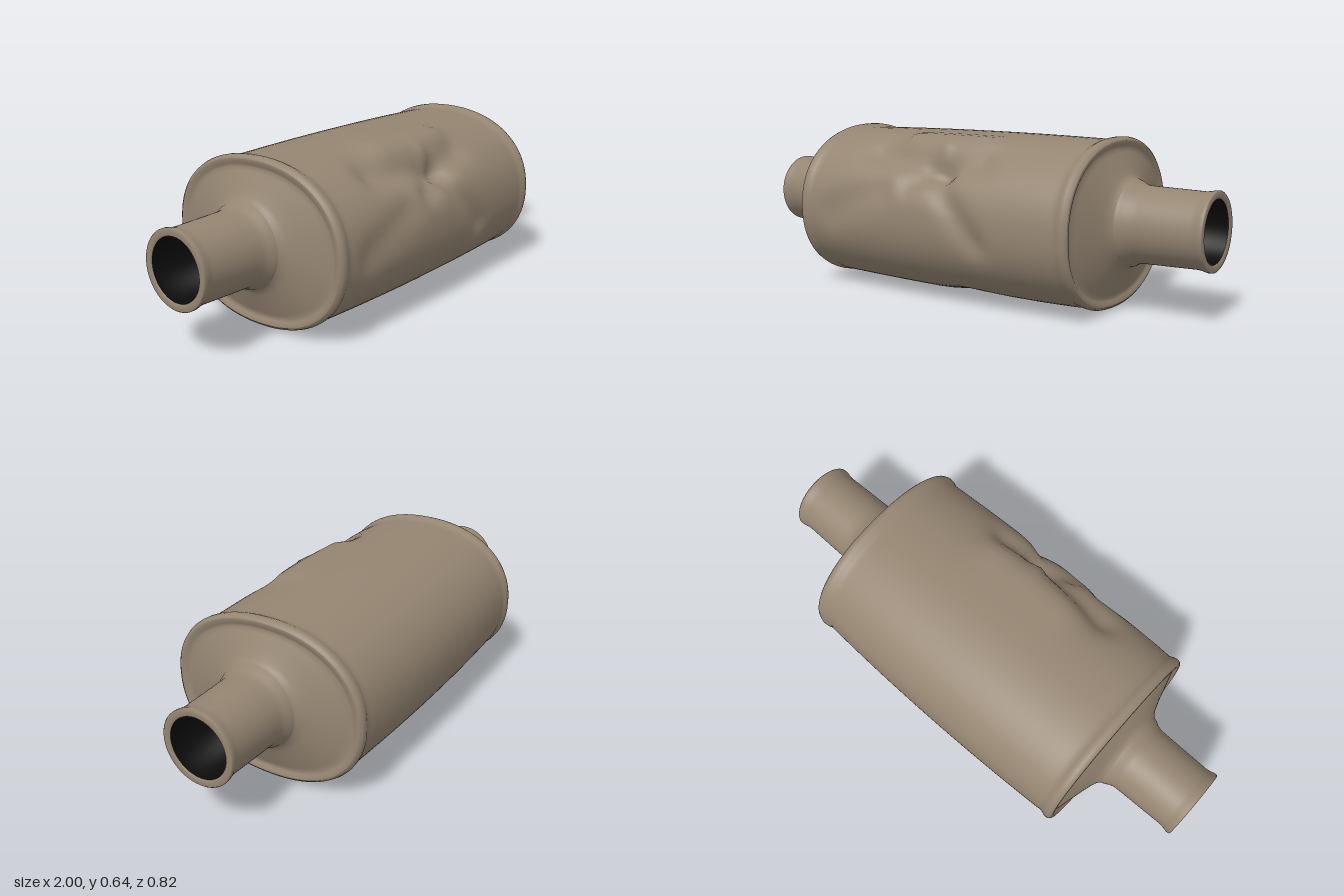
import * as THREE from 'three';

const SIDES = 80;

// Skin a list of oval rings [x, halfDepth, halfHeight, centreY, power] running along x.
function loft(rings, push = () => 0) {
  const pos = [], idx = [];
  for (const [x, rz, ry, cy, n = 2] of rings) {
    for (let j = 0; j < SIDES; j++) {
      const t = (j / SIDES) * Math.PI * 2 - Math.PI;
      const c = Math.cos(t), s = Math.sin(t), d = push(x, t);
      const bend = (v, r) => Math.sign(v) * Math.pow(Math.abs(v), 2 / n) * r + v * d;
      pos.push(x, cy + bend(s, ry), bend(c, rz));
    }
  }
  for (let i = 0; i < rings.length - 1; i++) {
    for (let j = 0; j < SIDES; j++) {
      const k = (j + 1) % SIDES;
      const a = i * SIDES + j, b = a + SIDES, c = i * SIDES + k, d = c + SIDES;
      idx.push(a, b, c, b, d, c);
    }
  }
  const g = new THREE.BufferGeometry();
  g.setAttribute('position', new THREE.Float32BufferAttribute(pos, 3));
  g.setIndex(idx);
  g.computeVertexNormals();
  return g;
}

const mirror = rings => rings.map(([x, ...rest]) => [-x, ...rest]).reverse();
const round = (x, r) => [x, r, r, 0.335];

// Creases in the shell: [x1, angle1, x2, angle2, width, depth]; angle 0 is the front, PI/2 the top.
const CREASES = [
  [-0.30, 0.85, 0.02, 0.66, 0.11, -0.035],
  [0.02, 0.66, 0.20, 0.80, 0.10, -0.03],
  [-0.08, 0.42, 0.06, 0.58, 0.07, -0.025],
  [0.08, 0.35, 0.24, -0.15, 0.08, -0.022],
  [-0.22, 0.30, -0.48, 0.00, 0.10, -0.015],
  [0.00, 0.50, 0.02, 0.90, 0.05, 0.015],
  [-0.15, 1.10, 0.18, 1.10, 0.12, 0.024],
  [0.10, -1.25, 0.25, -1.45, 0.13, -0.018],
];

function dent(x, t) {
  let sum = 0;
  for (const [x1, t1, x2, t2, w, depth] of CREASES) {
    // angles are scaled to surface distance
    const k = 0.36, ex = x2 - x1, et = (t2 - t1) * k, px = x - x1, pt = (t - t1) * k;
    const u = Math.min(1, Math.max(0, (px * ex + pt * et) / (ex * ex + et * et)));
    const dist = Math.hypot(px - u * ex, pt - u * et);
    sum += depth * Math.exp(-Math.pow(dist / w, 2) * 2.5);
  }
  return sum * Math.min(1, Math.max(0, (0.58 - Math.abs(x)) / 0.12));
}

export function createModel() {
  const model = new THREE.Group();
  model.name = 'muffler';
  const metal = new THREE.MeshStandardMaterial({ color: 0x958572 });
  metal.name = 'dull brown metal';
  const black = new THREE.MeshStandardMaterial({ color: 0x0b0b0b });
  black.name = 'black soot';
  const add = (name, geometry, material) => {
    const mesh = new THREE.Mesh(geometry, material);
    mesh.name = name;
    model.add(mesh);
  };

  // Oval shell with a rolled rim at each end
  const rim = [
    [0.568, 0.394, 0.310, 0.325, 2.2],
    [0.580, 0.397, 0.314, 0.327, 2.2],
    [0.592, 0.402, 0.318, 0.328, 2.2],
    [0.606, 0.403, 0.319, 0.328, 2.2],
    [0.617, 0.399, 0.315, 0.328, 2.2],
    [0.623, 0.390, 0.307, 0.328, 2.2],
  ];
  const barrel = [];
  for (let i = 0; i <= 60; i++) {
    const x = -0.55 + (1.1 * i) / 60, swell = 1 - Math.pow(x / 0.55, 2);
    barrel.push([x, 0.396 + 0.014 * swell, 0.311 + 0.007 * swell, 0.323, 2.2]);
  }
  add('shell', loft([...mirror(rim), ...barrel, ...rim], dent), metal);

  // Domed end plate, flaring into the collar
  const plate = [
    [0.623, 0.390, 0.307, 0.328, 2.2],
    [0.624, 0.380, 0.298, 0.328, 2.2],
    [0.617, 0.368, 0.286, 0.328, 2.2],
    [0.614, 0.355, 0.275, 0.328, 2.2],
    [0.620, 0.335, 0.262, 0.328, 2.15],
    [0.632, 0.290, 0.238, 0.329, 2.1],
    [0.645, 0.240, 0.210, 0.330, 2.05],
    [0.658, 0.200, 0.184, 0.332, 2],
    [0.668, 0.176, 0.169, 0.334, 2],
    round(0.680, 0.163),
  ];
  // Pipe with a collar at its root and a flared lip
  const pipe = [
    round(0.680, 0.163), round(0.695, 0.158), round(0.710, 0.149), round(0.730, 0.143),
    round(0.760, 0.142), round(0.860, 0.140), round(0.950, 0.138), round(0.970, 0.141),
    round(0.985, 0.145), round(0.996, 0.145), round(1.000, 0.141), round(1.000, 0.122),
    round(0.995, 0.116),
  ];
  // Dark inside of the pipe, closed at the bottom
  const bore = [round(0.995, 0.116), round(0.80, 0.114), round(0.80, 0)];

  for (const [side, place] of [['left', r => r], ['right', mirror]]) {
    add(side + 'EndPlate', loft(place(plate)), metal);
    add(side + 'Pipe', loft(place(pipe)), metal);
    add(side + 'Bore', loft(place(bore)), black);
  }

  // Small soot stain under the right pipe
  const stain = new THREE.CylinderGeometry(0.1425, 0.1425, 0.05, 8, 1, true, -0.25, 0.5);
  stain.rotateZ(Math.PI / 2);
  stain.rotateX(Math.PI - 0.93);
  stain.translate(-0.93, 0.335, 0);
  add('sootStain', stain, black);
  return model;
}
